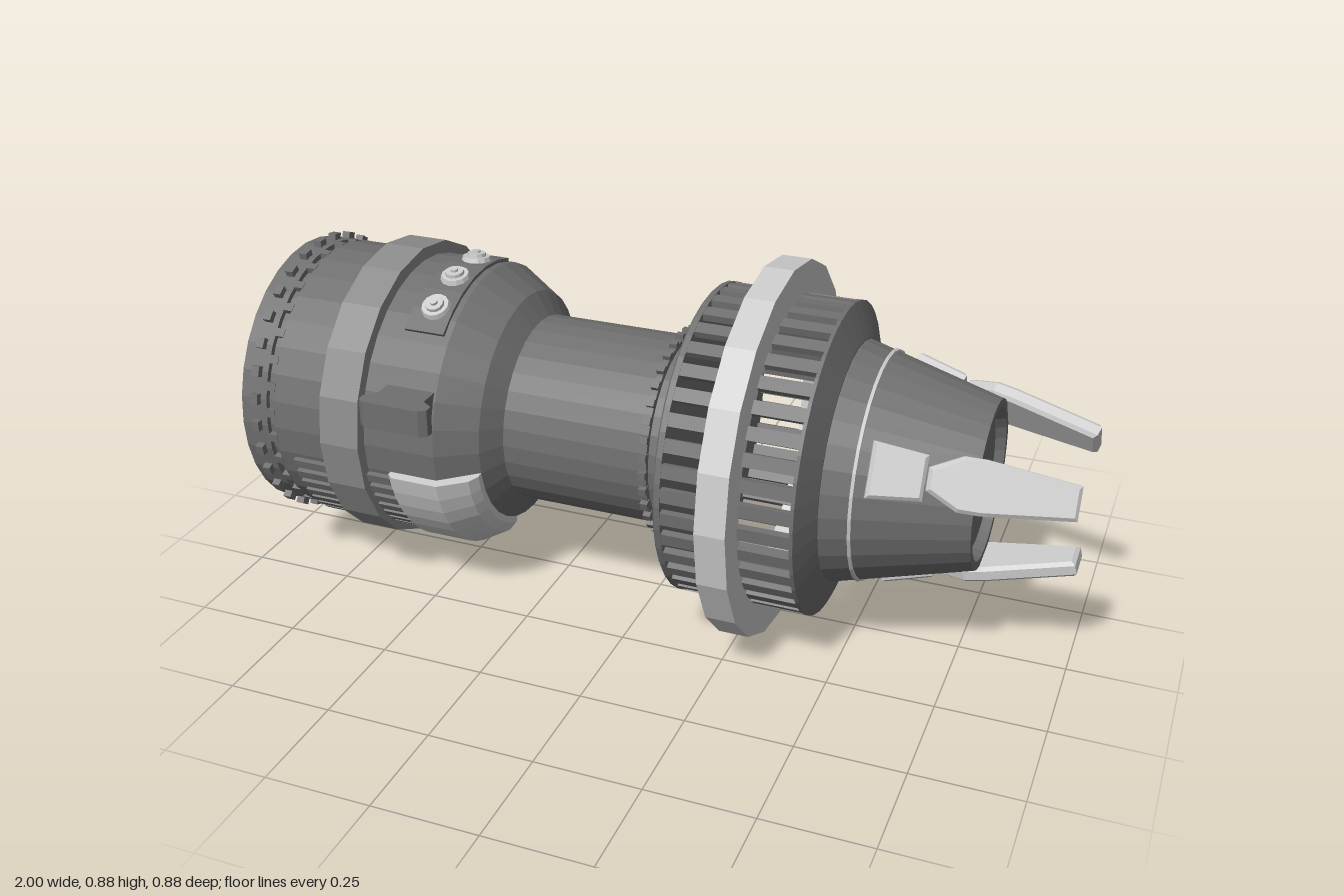
import * as THREE from 'three';
import { mergeGeometries } from 'three/addons/utils/BufferGeometryUtils.js';

const rad = THREE.MathUtils.degToRad;
const mat = (color) => new THREE.MeshStandardMaterial({ color, flatShading: true, side: THREE.DoubleSide });

export function createModel() {
  const root = new THREE.Group();
  const engine = new THREE.Group();
  engine.name = 'engine';
  engine.position.y = 0.442;
  root.add(engine);

  const dark = mat(0x707070), mid = mat(0x8c8c8c), light = mat(0xcccccc);

  const add = (name, geo, material) => {
    const mesh = new THREE.Mesh(geo, material);
    mesh.name = name;
    engine.add(mesh);
    return mesh;
  };
  // Turned part along x; profile is [x, radius] pairs, angle 0 is the front, growing downwards
  const turn = (profile, sides, from = 0, sweep = 360) =>
    new THREE.LatheGeometry(profile.map(([x, r]) => new THREE.Vector2(r, x)), sides, rad(from), rad(sweep))
      .rotateZ(-Math.PI / 2);
  // Closed block that follows the round body
  const curvedBlock = (profile, sides, from, sweep) => {
    const ends = [from, from + sweep].map((a) => {
      const s = new THREE.Shape(profile.map(([x, r]) => new THREE.Vector2(x, r)));
      return new THREE.ShapeGeometry(s).rotateX(Math.PI / 2 + rad(a));
    });
    return mergeGeometries([turn([...profile, profile[0]], sides, from, sweep), ...ends]);
  };
  // Copies of a geometry (built at the front, +z) placed at angles around the axis
  const around = (geo, angles) => mergeGeometries(angles.map((a) => geo.clone().rotateX(rad(a))));
  const full = (n, offset = 0) => Array.from({ length: n }, (_, i) => (i * 360) / n + offset);
  const box = (x0, x1, width, r0, r1) =>
    new THREE.BoxGeometry(x1 - x0, width, r1 - r0).translate((x0 + x1) / 2, 0, (r0 + r1) / 2);

  // Rear housing with hollow intake, shoulder and neck tube
  add('housing', turn([
    [-0.85, 0], [-0.85, 0.305], [-0.94, 0.315], [-0.94, 0.335], [-0.872, 0.335], [-0.872, 0.322],
    [-0.852, 0.322], [-0.852, 0.335], [-0.43, 0.335], [-0.34, 0.28], [-0.305, 0.225], [0.125, 0.225],
  ], 32), dark);
  add('housingBand', turn([[-0.71, 0.33], [-0.71, 0.366], [-0.61, 0.366], [-0.61, 0.33]], 20), mid);
  add('rimStuds', around(box(-0.908, -0.888, 0.025, 0.325, 0.35), full(32)), dark);
  add('grooveStuds', around(box(-0.874, -0.85, 0.02, 0.315, 0.335), full(32, 5.6)), dark);

  // Intake fan
  const blade = box(-0.006, 0.006, 0.032, 0.04, 0.312).rotateZ(0.6).translate(-0.895, 0, 0);
  add('fanBlades', around(blade, full(36)), dark);
  add('fanHub', turn([
    [-1, 0], [-1, 0.022], [-0.985, 0.032], [-0.95, 0.036], [-0.93, 0.03], [-0.905, 0.045], [-0.86, 0.055],
  ], 12), mid);
  add('hubPins', around(box(-0.985, -0.97, 0.012, 0.025, 0.046), full(4)), mid);

  // Neck flange with teeth
  add('neckFlange', turn([[0.042, 0.22], [0.042, 0.238], [0.056, 0.238], [0.056, 0.22]], 32), dark);
  add('neckTeeth', around(box(0.04, 0.058, 0.018, 0.23, 0.249), full(36)), dark);

  // Open cage: two end plates joined by bars, with the large ring round it
  add('cageRearPlate', turn([[0.12, 0], [0.12, 0.36], [0.125, 0.366], [0.138, 0.366], [0.138, 0]], 40), dark);
  add('cageBars', around(box(0.13, 0.44, 0.031, 0.347, 0.364), full(40, 4.5)), dark);
  add('cageFrontPlate', turn([[0.432, 0], [0.432, 0.366], [0.44, 0.366], [0.47, 0.285], [0.47, 0]], 40), dark);
  add('largeRing', turn([[0.245, 0.352], [0.245, 0.442], [0.315, 0.442], [0.315, 0.352], [0.245, 0.352]], 20), light);

  // Exhaust cone with recessed end
  add('exhaustCone', turn([
    [0.465, 0.283], [0.785, 0.195], [0.785, 0.175], [0.755, 0.165], [0.755, 0.15], [0.765, 0.15], [0.765, 0],
  ], 32), dark);
  add('coneSeam', turn([[0.532, 0.26], [0.532, 0.269], [0.539, 0.267], [0.539, 0.26]], 32), light);

  // Three claws, each with a base pad on the cone
  const outline = (pts) => new THREE.Shape(pts.map(([x, y]) => new THREE.Vector2(x, y)));
  const bevelled = (pts, depth) => new THREE.ExtrudeGeometry(outline(pts), {
    depth, bevelEnabled: true, bevelSize: 0.008, bevelThickness: 0.008, bevelOffset: -0.008, bevelSegments: 1,
  });
  const pad = bevelled([[0, -0.062], [0.12, -0.05], [0.12, 0.05], [0, 0.062]], 0.025)
    .rotateY(0.28).translate(0.56, 0, 0.248);
  const claw = bevelled([
    [0, -0.025], [0.07, -0.06], [0.12, -0.06], [0.32, -0.038],
    [0.32, 0.038], [0.12, 0.06], [0.07, 0.06], [0, 0.025],
  ], 0.022).rotateY(0.235).translate(0.682, 0, 0.222);
  const clawAngles = [-26, -146, -266];
  add('clawPads', around(pad, clawAngles), light);
  add('claws', around(claw, clawAngles), light);

  // Control panel with three knobs on top of the housing
  add('controlPanel', curvedBlock([[-0.545, 0.325], [-0.545, 0.343], [-0.445, 0.343], [-0.445, 0.325]], 6, -111, 62), dark);
  const knob = mergeGeometries([
    turnedKnob(0.036, 0.012), turnedKnob(0.024, 0.02), turnedKnob(0.01, 0.026),
  ]).translate(-0.49, 0, 0.34);
  add('knobs', around(knob, [-97, -78.5, -60.5]), light);

  // Side box, flared towards the housing
  const sideBox = new THREE.Group();
  sideBox.name = 'sideBox';
  const lid = new THREE.ExtrudeGeometry(
    outline([[-0.555, 0.3], [-0.555, 0.35], [-0.58, 0.368], [-0.58, 0.388], [-0.565, 0.4],
      [-0.425, 0.4], [-0.408, 0.388], [-0.408, 0.368], [-0.435, 0.35], [-0.435, 0.3]]),
    { depth: 0.065, bevelEnabled: false },
  ).rotateX(Math.PI / 2).translate(0, 0.59, 0);
  const boxMesh = new THREE.Mesh(lid, dark);
  boxMesh.name = 'sideBoxBody';
  sideBox.position.y = -0.442;
  sideBox.add(boxMesh);
  engine.add(sideBox);

  // Light fairing wrapped over the shoulder, low on the front
  add('fairing', curvedBlock([
    [-0.55, 0.32], [-0.55, 0.345], [-0.535, 0.356], [-0.42, 0.356], [-0.355, 0.318], [-0.34, 0.295],
    [-0.34, 0.27], [-0.43, 0.32],
  ], 8, 11, 58), light);

  // Cooling ribs either side of the band
  const ribAngles = Array.from({ length: 10 }, (_, i) => 15 + i * 6);
  add('rearRibs', around(box(-0.81, -0.705, 0.022, 0.325, 0.346), ribAngles), dark);
  add('frontRibs', around(box(-0.615, -0.55, 0.022, 0.325, 0.346), ribAngles), dark);

  return root;
}

// Disc facing outwards (+z)
function turnedKnob(radius, height) {
  return new THREE.CylinderGeometry(radius * 0.9, radius, height, 12).rotateX(Math.PI / 2).translate(0, 0, height / 2);
}
